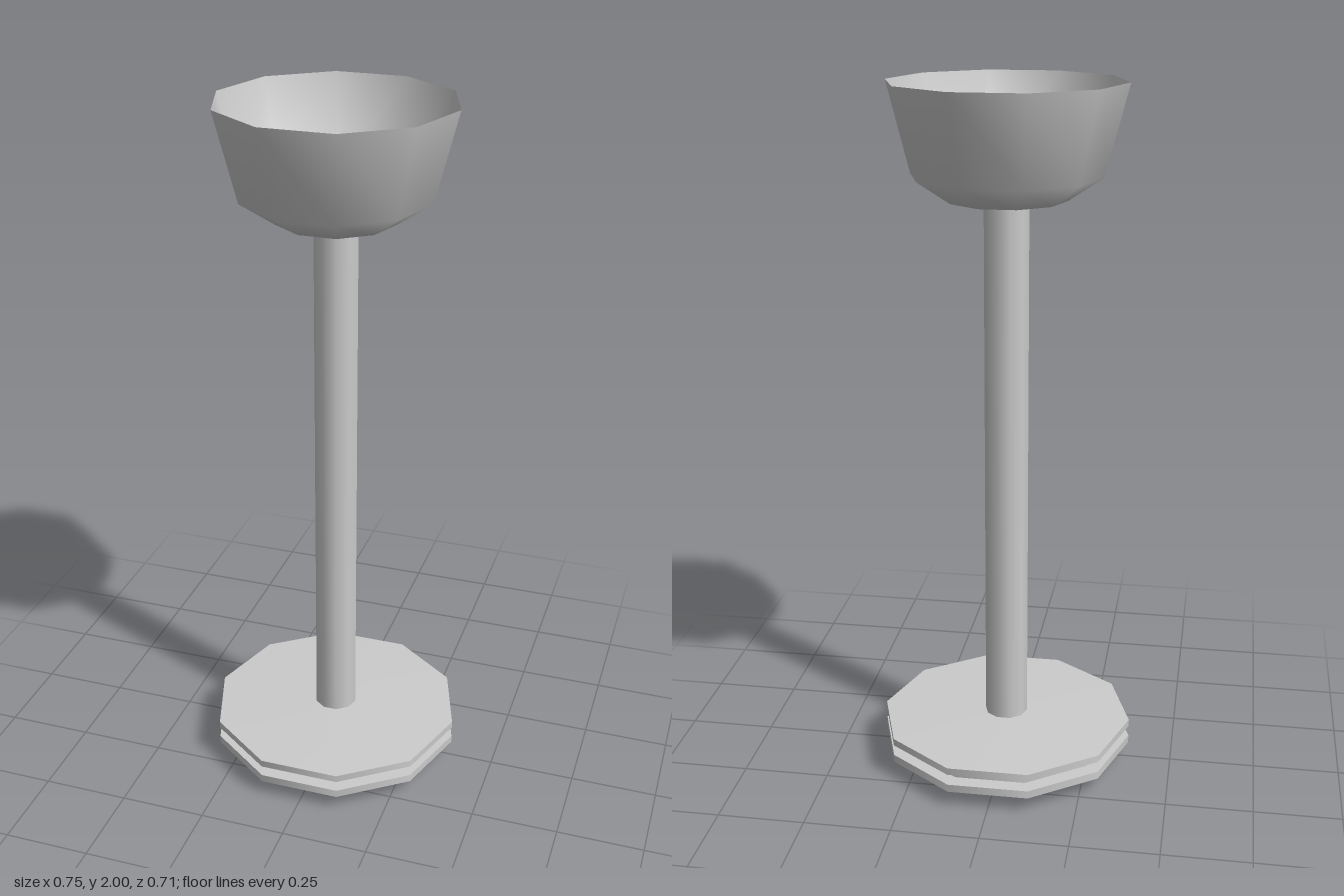
import * as THREE from 'three';

const SIDES = 10;
const grey = new THREE.MeshStandardMaterial({ color: 0xcccccc });
const greyThin = new THREE.MeshStandardMaterial({ color: 0xcccccc, side: THREE.DoubleSide });

// Ten-sided turned surface with a corner on the x axis; profile runs bottom to top
function turned(name, profile, material) {
  const points = profile.map(([r, y]) => new THREE.Vector2(r, y));
  const mesh = new THREE.Mesh(new THREE.LatheGeometry(points, SIDES, Math.PI / 2), material);
  mesh.name = name;
  return mesh;
}

// One band per profile step, so the rings between bands stay sharp
function sharpTurned(name, profile, material) {
  const group = new THREE.Group();
  group.name = name;
  for (let i = 0; i < profile.length - 1; i++) {
    group.add(turned(`${name}Band${i + 1}`, [profile[i], profile[i + 1]], material));
  }
  return group;
}

export function createModel() {
  const model = new THREE.Group();
  model.name = 'goblet';

  // Foot: tapered underside, two discs with a groove between, slightly raised top
  model.add(sharpTurned('foot', [
    [0, 0], [0.235, 0], [0.31, 0.047], [0.373, 0.047], [0.373, 0.07],
    [0.328, 0.07], [0.328, 0.102], [0.373, 0.102], [0.373, 0.123], [0.063, 0.132],
  ], grey));

  // Straight stem, closed by the floor of the bowl
  model.add(sharpTurned('stem', [[0.063, 0.13], [0.063, 1.667], [0, 1.667]], grey));

  // Thin open bowl
  model.add(turned('bowl', [
    [0.063, 1.667], [0.168, 1.685], [0.266, 1.75], [0.33, 2],
  ], greyThin));

  return model;
}
